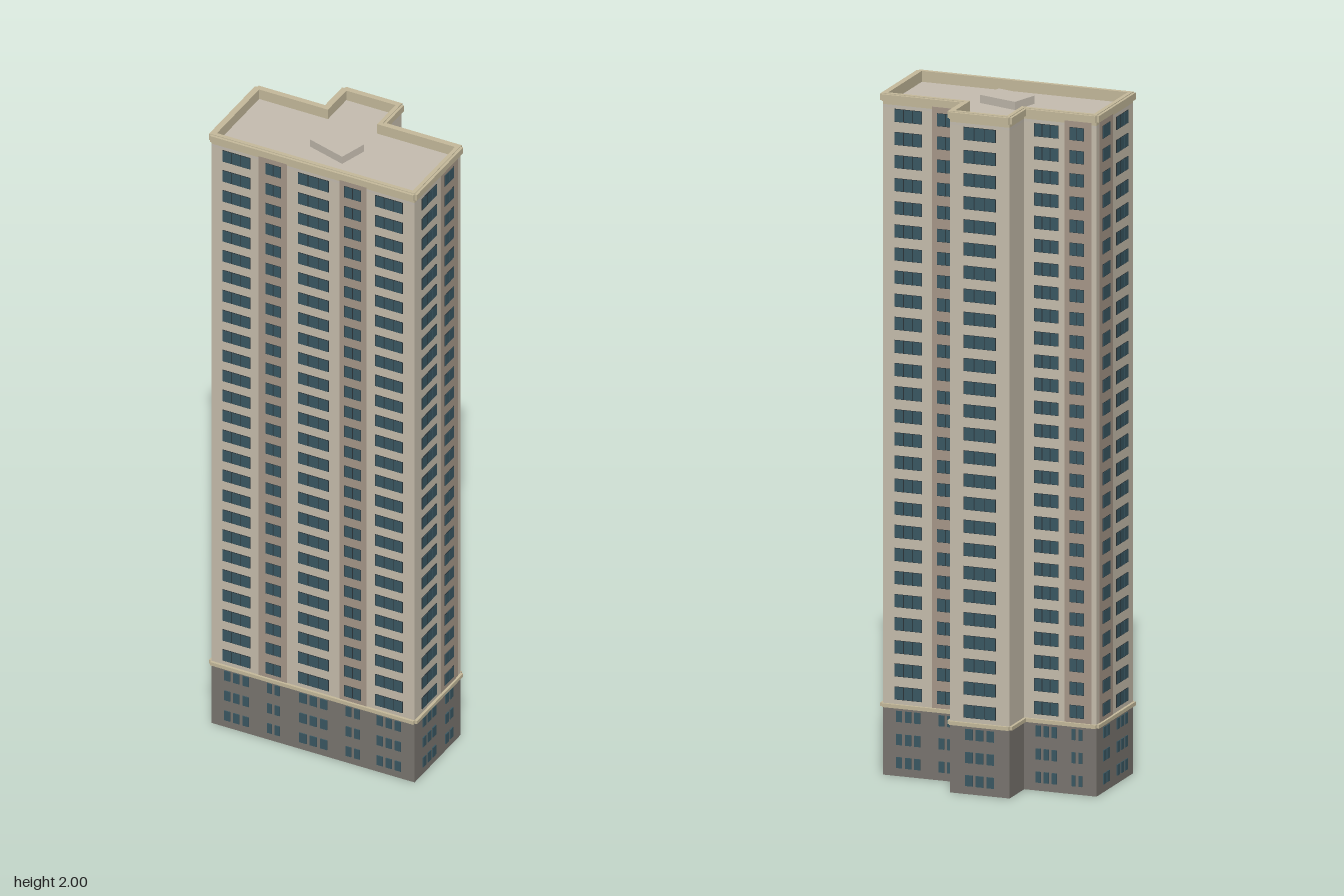
import * as THREE from 'three';
import { mergeGeometries } from 'three/addons/utils/BufferGeometryUtils.js';

const colours = {
  wall: 0xc8bfae, base: 0x7a7670, panel: 0xa8998a, glass: 0x3a5863,
  frame: 0x2b3439, roof: 0xc6beb1, trim: 0xc6bb9c,
};
const mats = {};
for (const [name, color] of Object.entries(colours)) {
  mats[name] = new THREE.MeshStandardMaterial({ color });
  mats[name].name = name;
}

// Floor plan extents in the building's own turned frame
const L = -0.333, R = 0.32, F = 0.155, B = -0.123;
const WL = -0.112, WR = 0.07, WB = -0.234;
const BASE_TOP = 0.2, FLOORS = 29, FLOOR_H = 0.0678;

// T-shaped outline, grown outward by d
const outline = (d = 0) => [
  [L - d, F + d], [R + d, F + d], [R + d, B - d], [WR + d, B - d],
  [WR + d, WB - d], [WL - d, WB - d], [WL - d, B - d], [L - d, B - d],
].map(([u, v]) => new THREE.Vector2(u, -v));

function slab(name, mat, y0, y1, holeInset) {
  const shape = new THREE.Shape(outline());
  if (holeInset) shape.holes.push(new THREE.Path(outline(-holeInset)));
  const geo = new THREE.ExtrudeGeometry(shape, { depth: y1 - y0, bevelEnabled: false });
  geo.rotateX(-Math.PI / 2).translate(0, y0, 0);
  const mesh = new THREE.Mesh(geo, mat);
  mesh.name = name;
  return mesh;
}

// Square-ended ledge along every wall edge
function ledge(name, y0, y1, out) {
  const pts = outline();
  const geos = pts.map((p, i) => {
    const q = pts[(i + 1) % pts.length];
    const dir = q.clone().sub(p), len = dir.length();
    dir.divideScalar(len);
    const mid = p.clone().add(q).multiplyScalar(0.5);
    const nx = dir.y, ny = -dir.x;
    const g = new THREE.BoxGeometry(len, y1 - y0, out);
    g.rotateY(Math.atan2(dir.y, dir.x));
    return g.translate(mid.x + nx * out / 2, (y0 + y1) / 2, -(mid.y + ny * out / 2));
  });
  const mesh = new THREE.Mesh(mergeGeometries(geos), mats.trim);
  mesh.name = name;
  return mesh;
}

// Each facade: outward turn, wall distance, window groups [from, to, panes], panel strips
// (from/to run along the wall in plan coordinates)
const facades = [
  { name: 'front', side: 'front', at: F,
    windows: [[-0.296, -0.207, 3], [-0.158, -0.108, 2], [-0.054, 0.045, 3], [0.095, 0.149, 2], [0.194, 0.282, 3]],
    panels: [[-0.181, -0.09], [0.079, 0.166]] },
  { name: 'backLeft', side: 'back', at: B,
    windows: [[0.2, 0.284, 3], [0.1, 0.154, 2]], panels: [[0.084, 0.17]] },
  { name: 'backRight', side: 'back', at: B,
    windows: [[-0.217, -0.143, 3], [-0.295, -0.252, 2]], panels: [[-0.318, -0.236]] },
  { name: 'wingBack', side: 'back', at: WB, windows: [[-0.07, 0.028, 3]], panels: [] },
  { name: 'eastSide', side: 'east', at: R,
    windows: [[0.025, 0.113, 3], [-0.079, -0.024, 2]], panels: [[-0.104, -0.002]] },
  { name: 'westSide', side: 'west', at: L,
    windows: [[0.025, 0.113, 3], [-0.079, -0.024, 2]], panels: [[-0.104, -0.002]] },
];

// Thin plate lying on a facade, centred on the wall plane
function plate({ side, at }, a, b, y0, y1, proud) {
  const along = side === 'front' || side === 'back';
  const g = new THREE.BoxGeometry(along ? b - a : proud * 2, y1 - y0, along ? proud * 2 : b - a);
  const m = (a + b) / 2, y = (y0 + y1) / 2;
  return along ? g.translate(m, y, at) : g.translate(at, y, m);
}

function buildFacade(f) {
  const group = new THREE.Group();
  group.name = f.name + 'Facade';
  const glass = [], frames = [];
  for (const [a, b, n] of f.windows) {
    for (let i = 0; i < FLOORS; i++) {
      const yc = 0.04 + i * FLOOR_H, low = i < 3;
      const h = low ? 0.016 : 0.018;
      // ground storeys have separate panes, the tower has framed bands
      if (!low) frames.push(plate(f, a, b, yc - h - 0.001, yc + h + 0.001, 0.0022));
      const step = (b - a) / n, gap = low ? 0.005 : 0.0012;
      for (let k = 0; k < n; k++) {
        glass.push(plate(f, a + k * step + gap, a + (k + 1) * step - gap, yc - h, yc + h, 0.003));
      }
    }
  }
  const panels = f.panels.map(([a, b]) => plate(f, a, b, BASE_TOP, 1.975, 0.0012));
  for (const [name, geos, mat] of [['windowPanes', glass, mats.glass],
    ['windowFrames', frames, mats.frame], ['wallPanels', panels, mats.panel]]) {
    if (!geos.length) continue;
    const mesh = new THREE.Mesh(mergeGeometries(geos), mat);
    mesh.name = name;
    group.add(mesh);
  }
  return group;
}

export function createModel() {
  const model = new THREE.Group();
  model.name = 'apartmentTower';
  const tower = new THREE.Group();
  tower.name = 'tower';
  tower.rotation.y = THREE.MathUtils.degToRad(16.4);

  // Main volumes
  tower.add(slab('base', mats.base, 0, BASE_TOP));
  tower.add(slab('towerWalls', mats.wall, BASE_TOP, 1.96));
  tower.add(slab('roofDeck', mats.roof, 1.96, 1.968));
  tower.add(slab('parapet', mats.trim, 1.968, 2, 0.012));

  // Projecting ledges
  tower.add(ledge('baseLedge', 0.2, 0.211, 0.008));
  tower.add(ledge('roofLedge', 1.978, 1.998, 0.008));

  facades.forEach((f) => tower.add(buildFacade(f)));
  model.add(tower);

  // Roof hatch, square to the main axes
  const hatch = new THREE.Mesh(new THREE.BoxGeometry(0.127, 0.024, 0.088), mats.roof);
  hatch.name = 'roofHatch';
  hatch.position.set(-0.001, 1.98, 0.014);
  model.add(hatch);
  return model;
}
